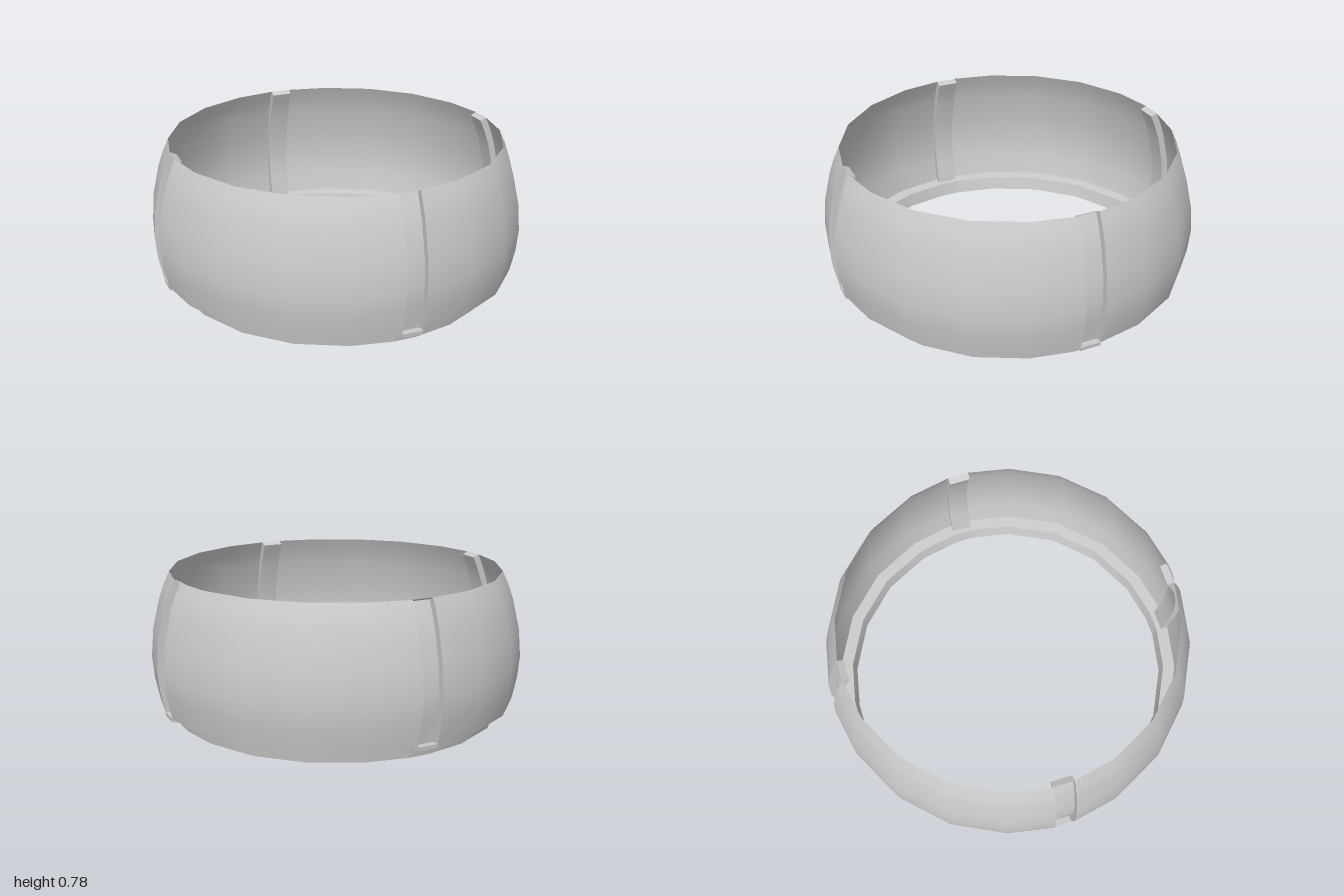
import * as THREE from 'three';

const material = new THREE.MeshStandardMaterial({ color: 0xcccccc, side: THREE.DoubleSide });
const HALF = 0.056; // half width of the grooves

// Smooth sheet spanned by rows of points (each row an array of [x, y, z])
function sheet(name, rows) {
  const n = rows[0].length, index = [];
  for (let i = 0; i + 1 < rows.length; i++) {
    for (let j = 0; j + 1 < n; j++) {
      const a = i * n + j, b = a + 1, c = a + n, d = c + 1;
      index.push(a, c, b, b, c, d);
    }
  }
  const geometry = new THREE.BufferGeometry();
  geometry.setAttribute('position', new THREE.Float32BufferAttribute(rows.flat(2), 3));
  geometry.setIndex(index);
  geometry.computeVertexNormals();
  const mesh = new THREE.Mesh(geometry, material);
  mesh.name = name;
  return mesh;
}

// Quarter of the twenty-sided plan, from the front groove to the left groove
function quarter(r, y) {
  const points = [[HALF, y, r]];
  for (let k = 1; k < 5; k++) {
    const a = k * Math.PI / 10;
    points.push([r * Math.sin(a), y, r * Math.cos(a)]);
  }
  points.push([r, y, HALF]);
  return points;
}

// Quarter that also bridges the groove, for the continuous lower rim
const bridged = ([r, y]) => [[-HALF, y, r], ...quarter(r, y)];
// Straight row across a groove
const across = ([r, y]) => [[-HALF, y, r], [HALF, y, r]];

export function createModel() {
  const group = new THREE.Group();

  // Bulging wall profile and the groove floor set in from it, as [radius, height]
  const wall = [[0.89, 0.78], [0.922, 0.71], [0.95, 0.63], [0.987, 0.47],
    [1, 0.32], [0.99, 0.2], [0.965, 0.08]];
  const floor = [[0.857, 0.765], [0.888, 0.695], [0.916, 0.618], [0.952, 0.463],
    [0.964, 0.32], [0.954, 0.207], [0.926, 0.08]];
  const foot = [0.928, 0.053];

  for (let q = 0; q < 4; q++) {
    const side = new THREE.Group();
    side.name = 'quarter' + (q + 1);
    side.rotation.y = q * Math.PI / 2;

    // Curved wall panel
    side.add(sheet('wallPanel', wall.map(([r, y]) => quarter(r, y))));

    // Recessed groove: floor, side walls and sloping top cap
    side.add(sheet('grooveFloor', [...floor, foot].map(across)));
    for (const s of [-1, 1]) {
      side.add(sheet('grooveSide', wall.map(([r, y], i) => {
        const pair = [[s * HALF, y, r], [s * HALF, floor[i][1], floor[i][0]]];
        return s < 0 ? pair : pair.reverse();
      })));
      // End of the small foot below the groove
      side.add(sheet('footEnd', [
        [[s * HALF, 0.08, 0.965], [s * HALF, 0.08, 0.926]],
        [[s * HALF, 0.06, 0.963], [s * HALF, foot[1], foot[0]]],
      ]));
    }
    side.add(sheet('grooveTop', [floor[0], wall[0]].map(across)));

    // Foot closing the groove at the bottom
    side.add(sheet('grooveFoot', [[0.965, 0.08], [0.963, 0.06]].map(across)));
    side.add(sheet('footUnderside', [[0.963, 0.06], foot].map(across)));

    // Ledge under the wall and the narrow lower rim
    side.add(sheet('ledge', [[0.965, 0.08], [0.9, 0.075]].map(bridged)));
    side.add(sheet('lowerRim', [[0.9, 0.075], [0.885, 0]].map(bridged)));
    group.add(side);
  }
  return group;
}
